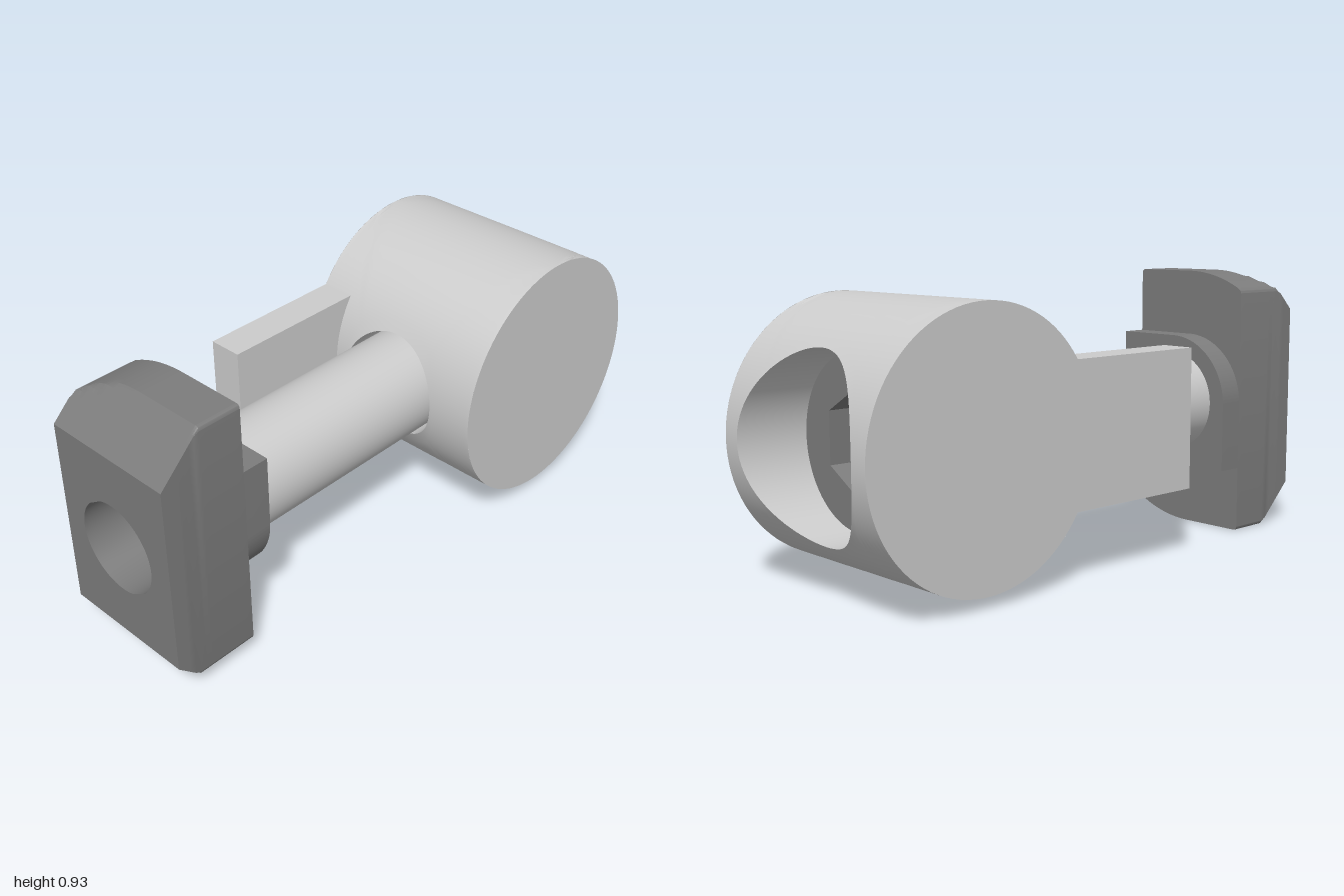
import * as THREE from 'three';
import { toCreasedNormals } from 'three/addons/utils/BufferGeometryUtils.js';

const CY = 0.463;                 // height of the bolt axis
const BARREL = { r: 0.426, half: 0.353, z: -0.573 };
const BORE = 0.29, HOLE = 0.19, SEAT = -0.42;
const SEG = 96;

// Skin closed loops of points together, keeping sharp edges sharp
function loft(loops) {
  const n = loops[0].length, index = [];
  for (let i = 0; i < loops.length - 1; i++) {
    for (let j = 0; j < n; j++) {
      const k = (j + 1) % n;
      const a = i * n + j, b = i * n + k, c = a + n, d = b + n;
      index.push(a, c, b, b, c, d);
    }
  }
  const g = new THREE.BufferGeometry();
  g.setAttribute('position', new THREE.Float32BufferAttribute(loops.flat(2), 3));
  g.setIndex(index);
  return toCreasedNormals(g.toNonIndexed(), 0.6);
}

// One loop on half of the barrel skin: s = 0 is the hole edge, s = 1 the half's border
function skinLoop(radius, side, s) {
  return ring((c, sn) => {
    const m = Math.max(Math.abs(c), Math.abs(sn));
    const x = THREE.MathUtils.lerp(radius * c, BARREL.half * c / m, s);
    const phi = THREE.MathUtils.lerp(Math.asin(radius * sn / BARREL.r), Math.PI / 2 * sn / m, s);
    return [x, BARREL.r * Math.sin(phi), BARREL.z + side * BARREL.r * Math.cos(phi)];
  });
}

function ring(fn) {
  return Array.from({ length: SEG }, (_, i) => {
    const t = i / SEG * Math.PI * 2;
    return fn(Math.cos(t), Math.sin(t));
  });
}

const flatRing = (r, z) => ring((c, s) => [r * c, r * s, z]);

// Rectangle with two opposite corners rounded about the centre, and a round hole
function turnOutline(w, h, f, hole) {
  const a = Math.asin((w - f) / h), y = Math.sqrt(h * h - w * w);
  const s = new THREE.Shape();
  s.moveTo(0, h);
  s.absarc(0, 0, h, Math.PI / 2, Math.PI / 2 + a, false);
  if (f) s.quadraticCurveTo(-w, y, -w, y - f);
  s.lineTo(-w, -h + f);
  if (f) s.quadraticCurveTo(-w, -h, -w + f, -h);
  s.lineTo(0, -h);
  s.absarc(0, 0, h, -Math.PI / 2, -Math.PI / 2 + a, false);
  if (f) s.quadraticCurveTo(w, -y, w, -y + f);
  s.lineTo(w, h - f);
  if (f) s.quadraticCurveTo(w, h, w - f, h);
  s.closePath();
  s.holes.push(new THREE.Path().absarc(0, 0, hole, 0, Math.PI * 2, true));
  return s;
}

// Cylinder along z between two depths
function rod(rBack, rFront, z0, z1) {
  return new THREE.CylinderGeometry(rFront, rBack, z1 - z0, 64)
    .rotateX(Math.PI / 2).translate(0, 0, (z0 + z1) / 2);
}

export function createModel() {
  const light = new THREE.MeshStandardMaterial({ color: 0xcccccc, side: THREE.DoubleSide });
  light.name = 'lightGrey';
  const dark = new THREE.MeshStandardMaterial({ color: 0x7c7c7c });
  dark.name = 'darkGrey';

  const model = new THREE.Group();
  model.name = 'crossBarrelConnector';
  const axis = new THREE.Group();
  axis.name = 'boltAxis';
  axis.position.y = CY;
  model.add(axis);
  const add = (name, geometry, material) => {
    const mesh = new THREE.Mesh(geometry, material);
    mesh.name = name;
    axis.add(mesh);
  };

  // Barrel skin, counterbore, seat and front hole in one continuous surface
  const steps = 12, loops = [];
  for (let i = steps; i >= 0; i--) loops.push(skinLoop(BORE, -1, i / steps));
  loops.push(flatRing(BORE, SEAT), flatRing(HOLE, SEAT));
  for (let i = 0; i <= steps; i++) loops.push(skinLoop(HOLE, 1, i / steps));
  add('barrel', loft(loops), light);
  for (const side of [-1, 1]) {
    add(side > 0 ? 'leftBarrelEnd' : 'rightBarrelEnd',
      new THREE.CircleGeometry(BARREL.r, SEG).rotateY(side * Math.PI / 2)
        .translate(side * BARREL.half, 0, BARREL.z), light);
  }

  // Flat locating tab beside the bolt
  add('locatingTab', new THREE.BoxGeometry(0.118, 0.468, 0.525).translate(-0.294, 0.001, 0.0425), light);

  // Sleeve, with the bolt running through it into the nut
  add('sleeve', rod(0.175, 0.175, SEAT, 0.62), light);
  add('boltShank', rod(0.152, 0.152, SEAT, 0.68), dark);
  add('boltTip', rod(0.152, 0.141, 0.68, 0.69), dark);

  // Bolt head with hexagonal socket
  const head = new THREE.Shape().absarc(0, 0, 0.27, 0, Math.PI * 2, false);
  const hex = Array.from({ length: 6 }, (_, i) => {
    const t = Math.PI / 2 - i * Math.PI / 3;
    return new THREE.Vector2(0.167 * Math.cos(t), 0.167 * Math.sin(t));
  });
  head.holes.push(new THREE.Path(hex));
  const socket = new THREE.ExtrudeGeometry(head, { depth: 0.2, bevelEnabled: false, curveSegments: 64 });
  add('boltHead', toCreasedNormals(socket.translate(0, 0, -0.77), 0.5), dark);
  add('boltHeadBase', rod(0.27, 0.27, -0.57, SEAT), dark);

  // Nut body: top and bottom bevelled toward the front
  const nut = new THREE.ExtrudeGeometry(turnOutline(0.234, 0.463, 0.015, 0.152),
    { depth: 0.29, steps: 14, bevelEnabled: false, curveSegments: 32 }).translate(0, 0, 0.71);
  const p = nut.attributes.position;
  for (let i = 0; i < p.count; i++) {
    const limit = 0.463 - Math.max(0, p.getZ(i) - 0.855) * 0.97;
    p.setY(i, THREE.MathUtils.clamp(p.getY(i), -limit, limit));
  }
  add('nutBody', toCreasedNormals(nut, 0.4), dark);

  // Smaller raised boss behind the nut body
  const boss = new THREE.ExtrudeGeometry(turnOutline(0.234, 0.234, 0, 0.152),
    { depth: 0.09, bevelEnabled: false, curveSegments: 32 }).translate(0, 0, 0.62);
  add('nutBoss', toCreasedNormals(boss, 0.4), dark);

  return model;
}
